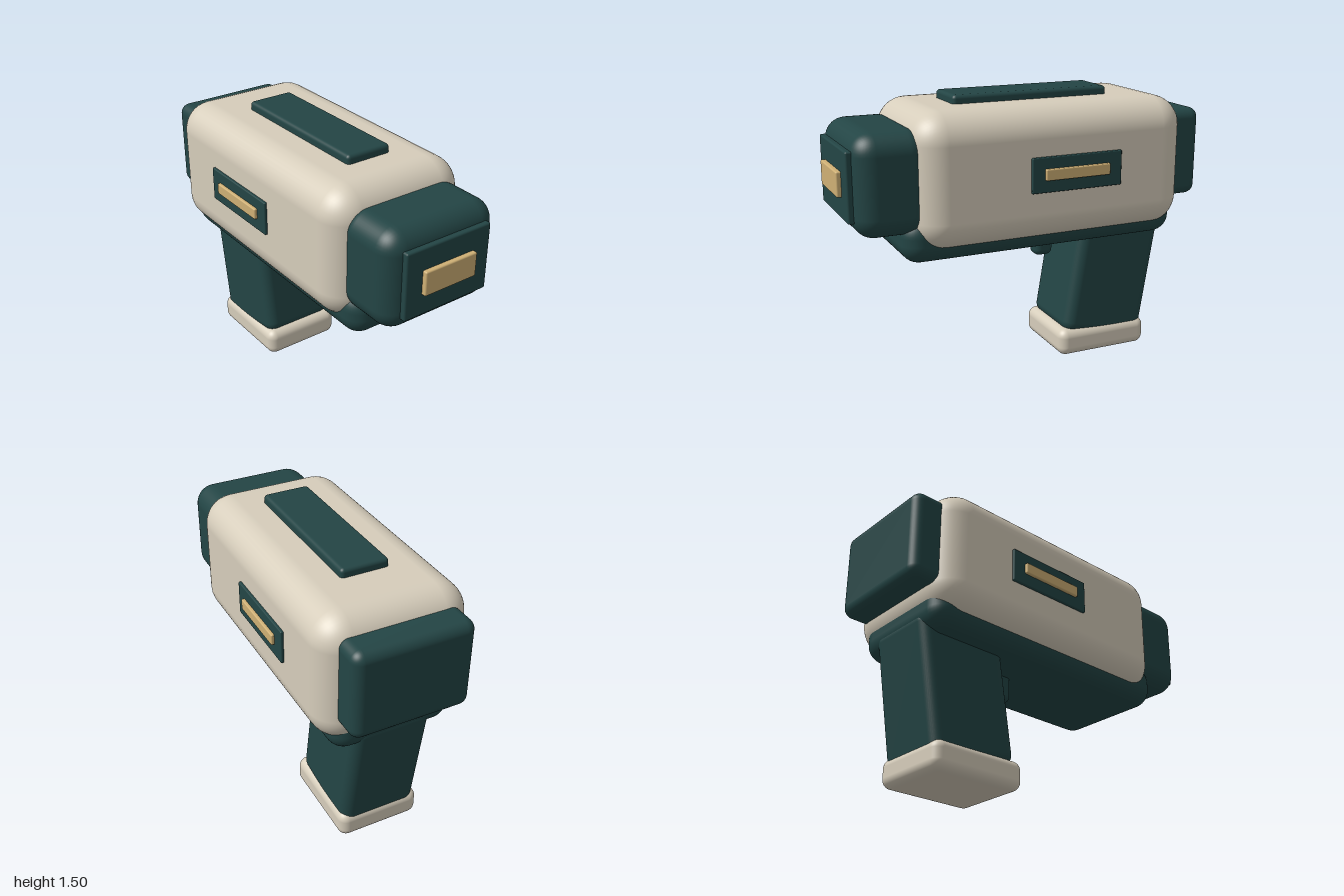
import * as THREE from 'three';
import { RoundedBoxGeometry } from 'three/addons/geometries/RoundedBoxGeometry.js';

const teal = new THREE.MeshStandardMaterial({ color: 0x234545 });
teal.name = 'dark teal';
const cream = new THREE.MeshStandardMaterial({ color: 0xd6cdbb });
cream.name = 'cream';
const gold = new THREE.MeshStandardMaterial({ color: 0xcfb075 });
gold.name = 'sand gold';

export function createModel() {
  const model = new THREE.Group();
  model.name = 'handheldScanner';

  // Rounded block given by its [min, max] range on each axis
  function block(name, material, [x0, x1], [y0, y1], [z0, z1], radius, segments = 5) {
    const geometry = new RoundedBoxGeometry(x1 - x0, y1 - y0, z1 - z0, segments, radius);
    const mesh = new THREE.Mesh(geometry, material);
    mesh.name = name;
    mesh.position.set((x0 + x1) / 2, (y0 + y1) / 2, (z0 + z1) / 2);
    model.add(mesh);
    return mesh;
  }

  // Main housing and the dark chassis beneath it
  block('housing', cream, [-0.405, 0.405], [0.75, 1.46], [-0.87, 0.66], 0.16);
  block('lowerChassis', teal, [-0.335, 0.335], [0.69, 0.93], [-0.85, 0.715], 0.1);
  block('topPlate', teal, [-0.13, 0.13], [1.42, 1.505], [-0.51, 0.375], 0.02, 3);

  // Nose with its panel and window
  block('nose', teal, [-0.335, 0.335], [0.845, 1.375], [0.56, 0.95], 0.11);
  block('nosePanel', teal, [-0.255, 0.255], [0.93, 1.29], [0.91, 0.975], 0.01, 2);
  block('noseWindow', gold, [-0.157, 0.157], [1.045, 1.175], [0.95, 1.0], 0.008, 2);

  // Rear cap
  block('rearCap', teal, [-0.32, 0.32], [0.895, 1.38], [-1.0, -0.8], 0.055);

  // Side panels with raised bars
  for (const [side, s] of [['left', 1], ['right', -1]]) {
    const range = (a, b) => (s > 0 ? [a, b] : [-b, -a]);
    block(side + 'Panel', teal, range(0.37, 0.42), [1.025, 1.21], [-0.45, 0.065], 0.006, 2);
    block(side + 'Bar', gold, range(0.4, 0.437), [1.09, 1.15], [-0.375, -0.005], 0.007, 2);
  }

  // Raked grip, foot and trigger
  const grip = block('grip', teal, [-0.215, 0.215], [0.09, 0.85], [-0.798, -0.298], 0.06);
  grip.rotation.x = -0.16;
  block('gripFoot', cream, [-0.232, 0.232], [0, 0.155], [-0.755, -0.21], 0.05);
  block('trigger', teal, [-0.05, 0.05], [0.555, 0.8], [-0.245, -0.135], 0.035);

  return model;
}
